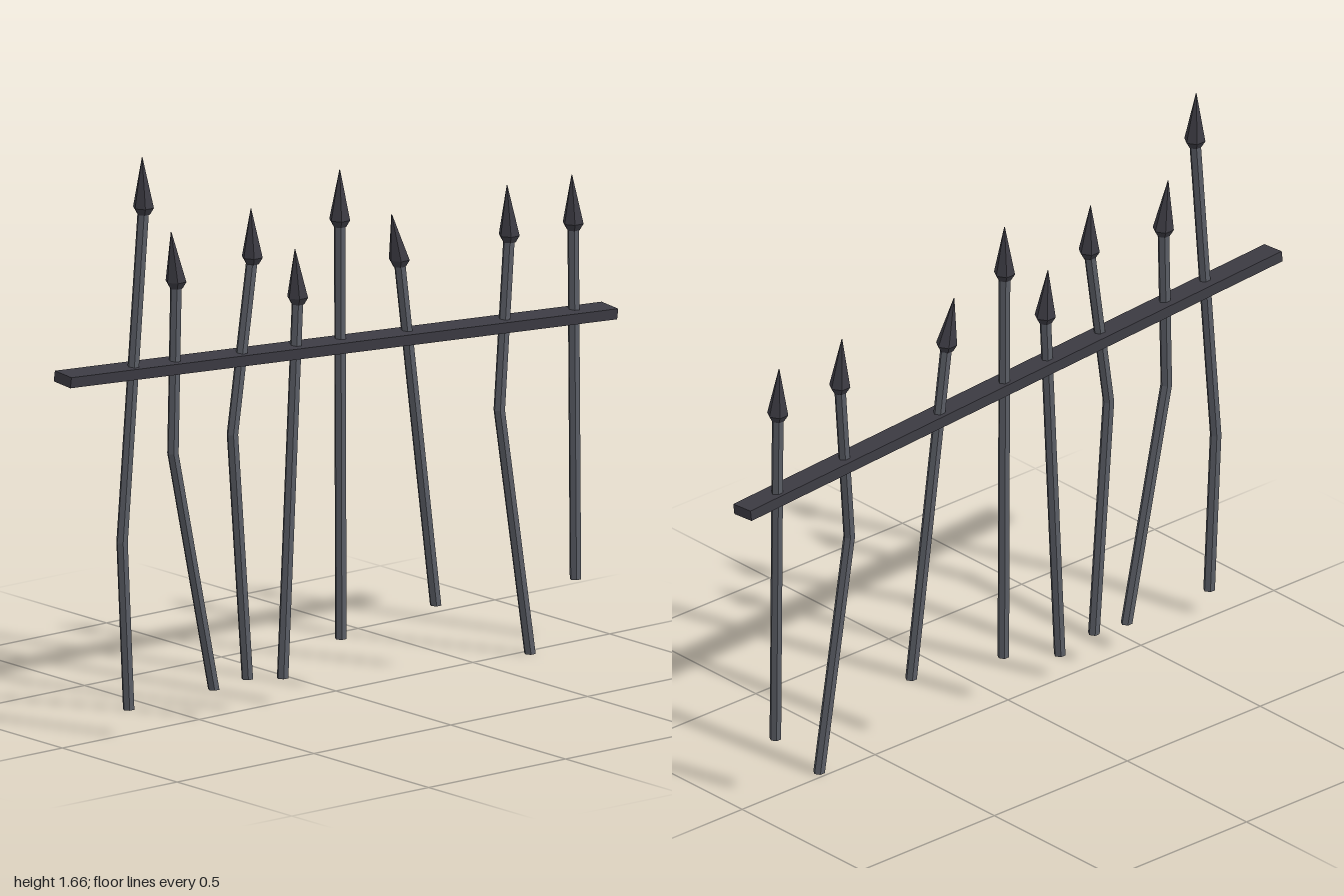
import * as THREE from 'three';

const shaftGrey = new THREE.MeshStandardMaterial({ color: 0x5a5d65 });
shaftGrey.name = 'shaft grey';
const darkIron = new THREE.MeshStandardMaterial({ color: 0x3c3b43 });
darkIron.name = 'dark iron';

// Faceted solid through rings given as [x, y, z, radius], with closed ends
function loft(rings, sides) {
  const pos = [];
  const point = ([x, y, z, r], i) => {
    const a = (i / sides) * Math.PI * 2;
    return [x + r * Math.cos(a), y, z + r * Math.sin(a)];
  };
  const first = rings[0], last = rings[rings.length - 1];
  for (let i = 0; i < sides; i++) {
    for (let k = 0; k < rings.length - 1; k++) {
      const a = point(rings[k], i), b = point(rings[k + 1], i);
      const c = point(rings[k + 1], i + 1), d = point(rings[k], i + 1);
      pos.push(...a, ...b, ...c, ...a, ...c, ...d);
    }
    pos.push(...first.slice(0, 3), ...point(first, i), ...point(first, i + 1));
    pos.push(...last.slice(0, 3), ...point(last, i + 1), ...point(last, i));
  }
  const geo = new THREE.BufferGeometry();
  geo.setAttribute('position', new THREE.Float32BufferAttribute(pos, 3));
  geo.computeVertexNormals();
  return geo;
}

// Each picket: bottom, optional bend, neck and tip as [x, y, z]
const pickets = [
  [[-0.77, 0.08, 0.015], [-0.79, 0.565, 0.01], [-0.71, 1.52, 0.008], [-0.715, 1.665, 0.008]],
  [[-0.455, 0.085, 0.01], [-0.6, 0.79, 0.005], [-0.587, 1.285, 0.003], [-0.605, 1.43, 0.003]],
  [[-0.332, 0.095, 0.01], [-0.385, 0.81, 0.008], [-0.31, 1.31, 0.005], [-0.315, 1.45, 0.005]],
  [[-0.2, 0.075, 0.006], [-0.14, 1.165, 0], [-0.15, 1.305, 0]],
  [[0.022, 0.15, -0.005], [0.022, 1.36, -0.01], [0.022, 1.505, -0.01]],
  [[0.36, 0.193, 0.005], [0.238, 1.21, -0.008], [0.21, 1.345, -0.008]],
  [[0.688, 0.003, 0.025], [0.59, 0.72, 0.008], [0.638, 1.215, -0.006], [0.63, 1.36, -0.006]],
  [[0.875, 0.183, 0], [0.875, 1.21, -0.01], [0.87, 1.35, -0.01]],
];

export function createModel() {
  const fence = new THREE.Group();
  fence.name = 'brokenFence';

  for (const path of pickets) {
    const picket = new THREE.Group();
    picket.name = 'picket';
    const tip = path[path.length - 1];
    const neck = path[path.length - 2];

    const shaft = new THREE.Mesh(loft(path.slice(0, -1).map(p => [...p, 0.017]), 6), shaftGrey);
    shaft.name = 'shaft';

    // Spearhead with a short tapered skirt
    const [x, y, z] = neck;
    const head = new THREE.Mesh(
      loft([[x, y - 0.02, z, 0.019], [x, y, z, 0.031], [...tip, 0.001]], 6), darkIron);
    head.name = 'spearhead';
    picket.add(shaft, head);
    fence.add(picket);
  }

  // Sagging cross rail
  const rail = new THREE.Mesh(new THREE.BoxGeometry(2.002, 0.031, 0.073), darkIron);
  rail.name = 'rail';
  rail.position.set(0, 1.003, 0);
  rail.rotation.set(0.08, 0, -0.065, 'ZYX');
  fence.add(rail);

  return fence;
}
